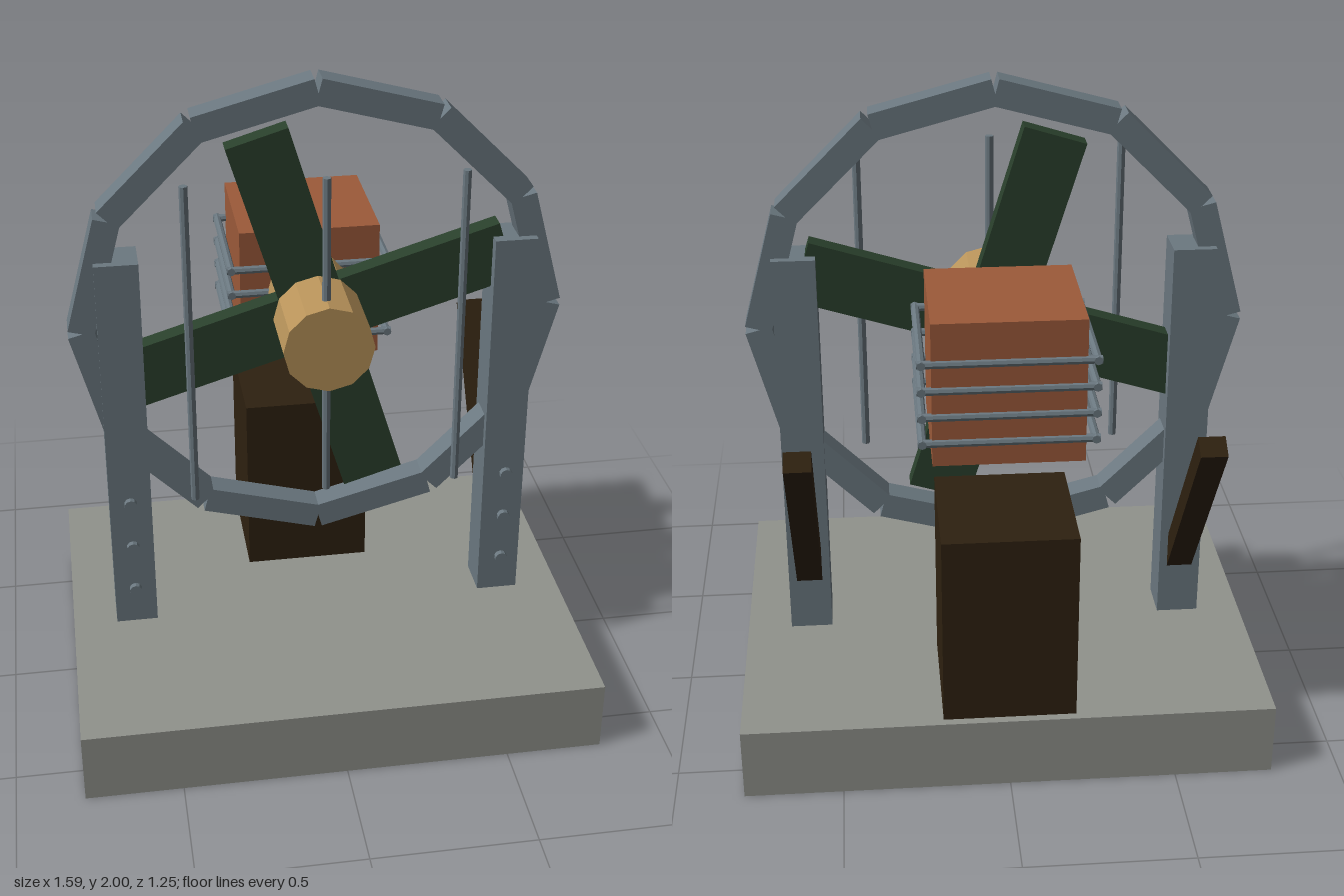
import * as THREE from 'three';

const mat = (name, color) => {
  const m = new THREE.MeshStandardMaterial({ color });
  m.name = name;
  return m;
};

export function createModel() {
  const model = new THREE.Group();
  model.name = 'wheelMachine';

  const stone = mat('stone grey', 0x90928c);
  const steel = mat('steel grey', 0x6b7880);
  const copper = mat('copper brown', 0x9c5a3a);
  const brass = mat('brass', 0xb8935a);
  const green = mat('dark green', 0x2a402c);
  const timber = mat('dark timber', 0x2e2110);

  const add = (name, geo, material, x, y, z, parent = model) => {
    // faceted look: split vertices so every side is flat
    const flat = geo.index ? geo.toNonIndexed() : geo;
    flat.computeVertexNormals();
    const mesh = new THREE.Mesh(flat, material);
    mesh.name = name;
    mesh.position.set(x, y, z);
    parent.add(mesh);
    return mesh;
  };
  const box = (w, h, d) => new THREE.BoxGeometry(w, h, d);
  const rod = (r, len, sides = 8) => new THREE.CylinderGeometry(r, r, len, sides);

  const axleY = 1.255;

  // Plinth and rear pedestal
  add('base', box(1.59, 0.225, 1.25), stone, 0, 0.1125, 0);
  add('pedestal', box(0.395, 0.6, 0.4), timber, 0, 0.525, -0.4);

  // Posts with bolts and slanted braces
  for (const side of [-1, 1]) {
    const x = side * 0.593;
    add('post', box(0.13, 1.255, 0.13), steel, x, 0.8525, 0);
    for (const y of [0.366, 0.525, 0.684]) {
      add('bolt', rod(0.02, 0.018, 10).rotateX(Math.PI / 2), steel, x, y, 0.097);
    }
    const brace = add('brace', box(0.08, 0.8, 0.067), timber, x, 0.697, -0.231);
    brace.rotation.x = -0.6;
  }

  // Twelve-piece rim
  const rim = new THREE.Group();
  rim.name = 'rim';
  rim.position.y = axleY;
  model.add(rim);
  for (let i = 0; i < 12; i++) {
    const a = ((i + 0.5) * Math.PI) / 6;
    const piece = add('rimSegment', box(0.08, 0.363, 0.08), steel,
      0.682 * Math.cos(a), 0.682 * Math.sin(a), 0, rim);
    piece.rotation.z = a;
  }

  // Crossed blades and hub
  for (let i = 0; i < 2; i++) {
    const blade = add('blade', box(0.19, 1.2, 0.06), green, 0, axleY, 0);
    blade.rotation.z = 0.297 + (i * Math.PI) / 2;
  }
  add('hub', rod(0.135, 0.5, 12).rotateX(Math.PI / 2), brass, 0, axleY, 0);

  // Rear block wrapped in four rod bands
  add('block', box(0.43, 0.43, 0.405), copper, 0, axleY, -0.3325);
  for (let i = 0; i < 4; i++) {
    const band = new THREE.Group();
    band.name = 'band';
    band.position.set(0, 1.11 + i * 0.08, -0.33);
    model.add(band);
    for (const s of [-1, 1]) {
      add('bandCrossRod', rod(0.0125, 0.51).rotateZ(Math.PI / 2), steel, 0, 0, s * 0.2025, band);
      add('bandSideRod', rod(0.0125, 0.43).rotateX(Math.PI / 2), steel, s * 0.2425, 0, 0, band);
    }
  }

  // Upright guard rods in front of the wheel
  for (const x of [-0.4, 0, 0.4]) {
    add('guardRod', rod(0.0125, 1.015), steel, x, 1.2575, 0.19);
  }

  return model;
}
